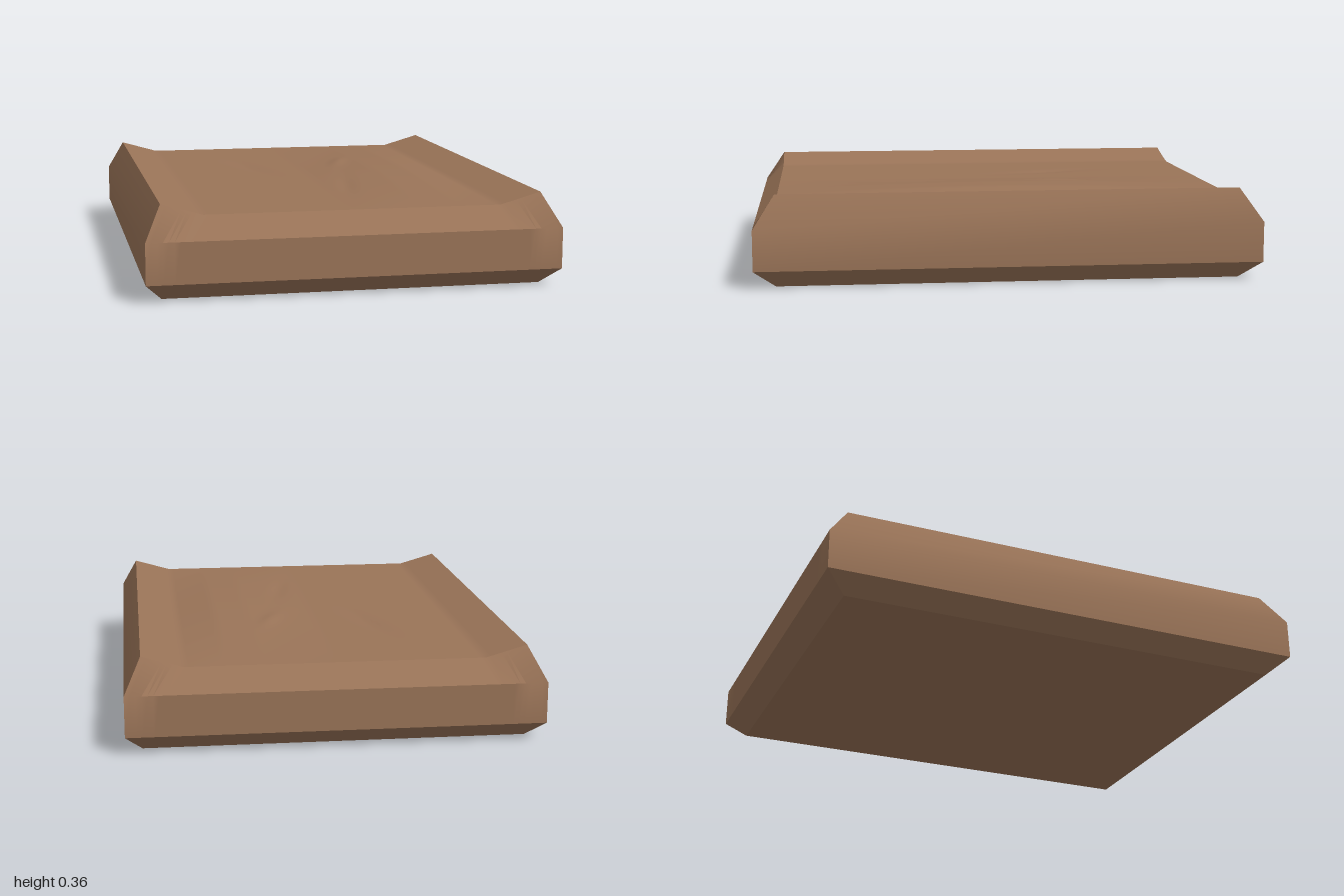
import * as THREE from 'three';
import { toCreasedNormals } from 'three/addons/utils/BufferGeometryUtils.js';

const TOP_X = 0.74, TOP_Z = 0.915, COLS = 74, ROWS = 46;
const { clamp, lerp } = THREE.MathUtils;

// wrinkles in the top: x, z, lean, length, height
const WRINKLES = [
  [-0.22, -0.28, 0.3, 0.16, -0.008],
  [0.19, -0.26, -0.3, 0.12, 0.008],
  [0.09, 0.38, -0.15, 0.2, -0.006],
];

// piecewise linear curve through [x, y] points
function curveAt(points, x) {
  for (let i = 1; i < points.length; i++) {
    const [x0, y0] = points[i - 1], [x1, y1] = points[i];
    if (x <= x1) return lerp(y0, y1, clamp((x - x0) / (x1 - x0), 0, 1));
  }
  return points[points.length - 1][1];
}

// dished top between two raised long edges, with a low mound on the left
function topHeight(x, z) {
  const fade = Math.max(0, Math.cos((z / TOP_Z) * Math.PI / 2));
  let y = curveAt([[0.58, 0.314], [0.74, 0.36]], Math.abs(x));
  y += curveAt([[0, 0], [0.28, 0.024], [0.42, 0.024], [0.58, 0]], x) * fade;
  for (const [wx, wz, lean, length, height] of WRINKLES) {
    const dz = z - wz, dx = x - wx - lean * dz;
    y += height * fade * Math.exp(-((dx / 0.03) ** 2) - (dz / length) ** 2);
  }
  return y;
}

function buildTop() {
  const geo = new THREE.PlaneGeometry(TOP_X * 2, TOP_Z * 2, COLS, ROWS).rotateX(-Math.PI / 2);
  const p = geo.attributes.position;
  for (let i = 0; i < p.count; i++) p.setY(i, topHeight(p.getX(i), p.getZ(i)));
  geo.computeVertexNormals();
  return geo;
}

// bevelled walls lofted through four rings, closed by a flat base
function buildBody() {
  const rim = [];
  for (let i = 0; i < COLS; i++) rim.push([-1 + (2 * i) / COLS, 1]);
  rim.push([1, 1]);
  for (let i = 0; i < COLS; i++) rim.push([1 - (2 * i) / COLS, -1]);
  rim.push([-1, -1]);
  const n = rim.length;
  const rings = [
    [TOP_X, TOP_Z, () => 0],
    [0.805, 1, () => 0.07],
    [0.805, 1, () => 0.23],
    [TOP_X, TOP_Z, topHeight],
  ];
  const pos = [], index = [];
  for (const [rx, rz, height] of rings)
    for (const [u, v] of rim) pos.push(u * rx, height(u * rx, v * rz), v * rz);
  for (let r = 0; r < rings.length - 1; r++)
    for (let i = 0; i < n; i++) {
      const a = r * n + i, b = r * n + ((i + 1) % n);
      index.push(a, b, b + n, a, b + n, a + n);
    }
  const base = pos.length / 3;
  pos.push(0, 0, 0);
  for (let i = 0; i < n; i++) index.push(base, (i + 1) % n, i);
  const geo = new THREE.BufferGeometry();
  geo.setAttribute('position', new THREE.Float32BufferAttribute(pos, 3));
  geo.setIndex(index);
  return toCreasedNormals(geo, 0.65);
}

export function createModel() {
  const group = new THREE.Group();
  group.name = 'cushionSlab';
  const brown = new THREE.MeshStandardMaterial({ color: 0x9a7458 });
  brown.name = 'warm brown';
  const add = (name, geo) => {
    const mesh = new THREE.Mesh(geo, brown);
    mesh.name = name;
    group.add(mesh);
  };
  add('bevelledBody', buildBody());
  add('dishedTop', buildTop());
  return group;
}
